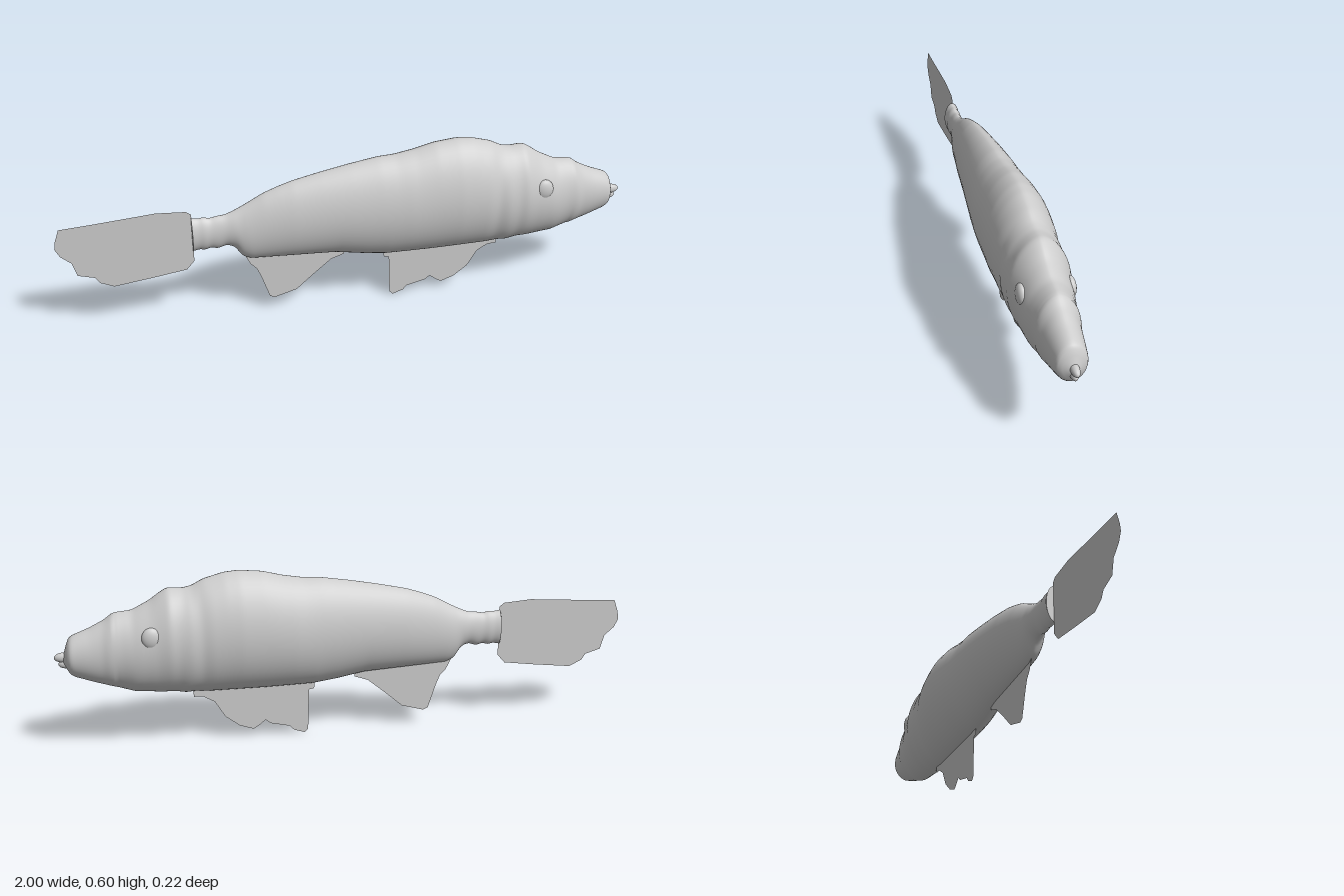
import * as THREE from 'three';

// Body profiles as [x, value] pairs
const TOP = [[-0.545, 0.408], [-0.52, 0.403], [-0.505, 0.408], [-0.485, 0.4], [-0.46, 0.406], [-0.43, 0.408], [-0.4, 0.42],
  [-0.36, 0.44], [-0.3, 0.473], [-0.25, 0.492], [-0.2, 0.508], [-0.1, 0.53], [0, 0.549], [0.1, 0.565], [0.16, 0.568],
  [0.23, 0.58], [0.3, 0.598], [0.38, 0.606], [0.43, 0.602], [0.5, 0.583], [0.54, 0.562], [0.57, 0.556], [0.62, 0.56],
  [0.65, 0.542], [0.68, 0.52], [0.74, 0.49], [0.8, 0.485], [0.83, 0.462], [0.88, 0.437], [0.93, 0.418], [0.95, 0.408],
  [0.96, 0.385], [0.968, 0.34]];
const BOTTOM = [[-0.545, 0.282], [-0.52, 0.288], [-0.505, 0.281], [-0.485, 0.29], [-0.46, 0.282], [-0.43, 0.293],
  [-0.4, 0.28], [-0.38, 0.243], [-0.35, 0.229], [-0.2, 0.222], [-0.05, 0.215], [0.05, 0.197], [0.13, 0.187],
  [0.3, 0.185], [0.5, 0.187], [0.54, 0.191], [0.57, 0.188], [0.61, 0.196], [0.65, 0.196], [0.7, 0.202], [0.74, 0.205],
  [0.79, 0.222], [0.87, 0.248], [0.94, 0.274], [0.958, 0.29], [0.968, 0.325]];
const WIDTH = [[-0.545, 0.029], [-0.52, 0.026], [-0.505, 0.029], [-0.485, 0.026], [-0.43, 0.029], [-0.36, 0.044],
  [-0.2, 0.066], [0, 0.086], [0.2, 0.104], [0.38, 0.111], [0.48, 0.106], [0.515, 0.099], [0.55, 0.104], [0.59, 0.099],
  [0.62, 0.102], [0.66, 0.093], [0.72, 0.086], [0.78, 0.074], [0.82, 0.071], [0.84, 0.064], [0.9, 0.056], [0.95, 0.048],
  [0.96, 0.036], [0.968, 0.004]];

function lookup(table, x) {
  if (x <= table[0][0]) return table[0][1];
  for (let i = 1; i < table.length; i++) {
    const [x0, v0] = table[i - 1], [x1, v1] = table[i];
    if (x <= x1) return v0 + (v1 - v0) * (x - x0) / (x1 - x0);
  }
  return table[table.length - 1][1];
}

// Averages nearby values so the profile bends softly
function smooth(table, x) {
  let sum = 0;
  for (let k = -3; k <= 3; k++) sum += lookup(table, x + k * 0.003);
  return sum / 7;
}

function bodyGeometry() {
  const rings = 220, sides = 48, x0 = -0.545, x1 = 0.972;
  const positions = [], index = [];
  for (let i = 0; i <= rings; i++) {
    const x = x0 + (x1 - x0) * i / rings;
    const top = smooth(TOP, x), bottom = smooth(BOTTOM, x), width = smooth(WIDTH, x);
    // lens-shaped section, rounder towards the snout
    const power = x > 0.8 ? 1.05 : 1.2;
    for (let j = 0; j < sides; j++) {
      const a = j / sides * Math.PI * 2, c = Math.cos(a);
      positions.push(x, (top + bottom) / 2 + (top - bottom) / 2 * Math.sin(a),
        Math.sign(c) * width * Math.abs(c) ** power);
      if (i < rings) {
        const k = (j + 1) % sides, p = i * sides, q = p + sides;
        index.push(p + j, q + j, q + k, p + j, q + k, p + k);
      }
    }
  }
  const geometry = new THREE.BufferGeometry();
  geometry.setAttribute('position', new THREE.Float32BufferAttribute(positions, 3));
  geometry.setIndex(index);
  geometry.computeVertexNormals();
  return geometry;
}

const TAIL = [[-0.995, 0.374], [-0.98, 0.417], [-0.87, 0.424], [-0.66, 0.44], [-0.56, 0.433], [-0.543, 0.42],
  [-0.543, 0.24], [-0.57, 0.209], [-0.69, 0.192], [-0.82, 0.176], [-0.866, 0.197], [-0.88, 0.219], [-0.936, 0.235],
  [-0.95, 0.285], [-0.985, 0.315], [-1, 0.345]];
const REAR_FIN = [[-0.375, 0.25], [-0.35, 0.2], [-0.33, 0.18], [-0.315, 0.144], [-0.287, 0.06], [-0.27, 0.052],
  [-0.19, 0.075], [-0.13, 0.128], [-0.065, 0.182], [-0.018, 0.198], [-0.018, 0.24]];
const FRONT_FIN = [[0.123, 0.21], [0.127, 0.166], [0.145, 0.163], [0.15, 0.016], [0.162, 0.003], [0.2, 0.016],
  [0.215, 0.032], [0.283, 0.048], [0.3, 0.062], [0.322, 0.045], [0.342, 0.032], [0.39, 0.048], [0.44, 0.086],
  [0.475, 0.144], [0.513, 0.166], [0.545, 0.168], [0.55, 0.21]];

export function createModel() {
  const group = new THREE.Group();
  const grey = new THREE.MeshStandardMaterial({ color: 0xcccccc, side: THREE.DoubleSide });
  grey.name = 'grey';

  const add = (name, geometry, x = 0, y = 0, z = 0) => {
    const mesh = new THREE.Mesh(geometry, grey);
    mesh.name = name;
    mesh.position.set(x, y, z);
    group.add(mesh);
    return mesh;
  };

  add('body', bodyGeometry());

  // Flat end of the tail stalk
  const end = add('tailStalkEnd', new THREE.CircleGeometry(1, 32), -0.545, 0.345, 0);
  end.rotation.y = -Math.PI / 2;
  end.scale.set(0.028, 0.063, 1);

  // Sheet fins
  const fin = (name, outline) => {
    const shape = new THREE.Shape(outline.map(([x, y]) => new THREE.Vector2(x, y)));
    add(name, new THREE.ShapeGeometry(shape), 0, 0, -0.003);
  };
  fin('tailFin', TAIL);
  fin('rearFin', REAR_FIN);
  fin('frontFin', FRONT_FIN);

  // Eyes
  for (const side of [1, -1]) {
    add(side > 0 ? 'rightEye' : 'leftEye', new THREE.SphereGeometry(1, 28, 20), 0.682, 0.41, side * 0.076)
      .scale.set(0.033, 0.037, 0.018);
  }

  // Lips
  add('upperLip', new THREE.SphereGeometry(1, 24, 16), 0.967, 0.341, 0).scale.set(0.033, 0.017, 0.014);
  add('lowerLip', new THREE.SphereGeometry(1, 24, 16), 0.962, 0.318, 0).scale.set(0.025, 0.015, 0.012);

  return group;
}
